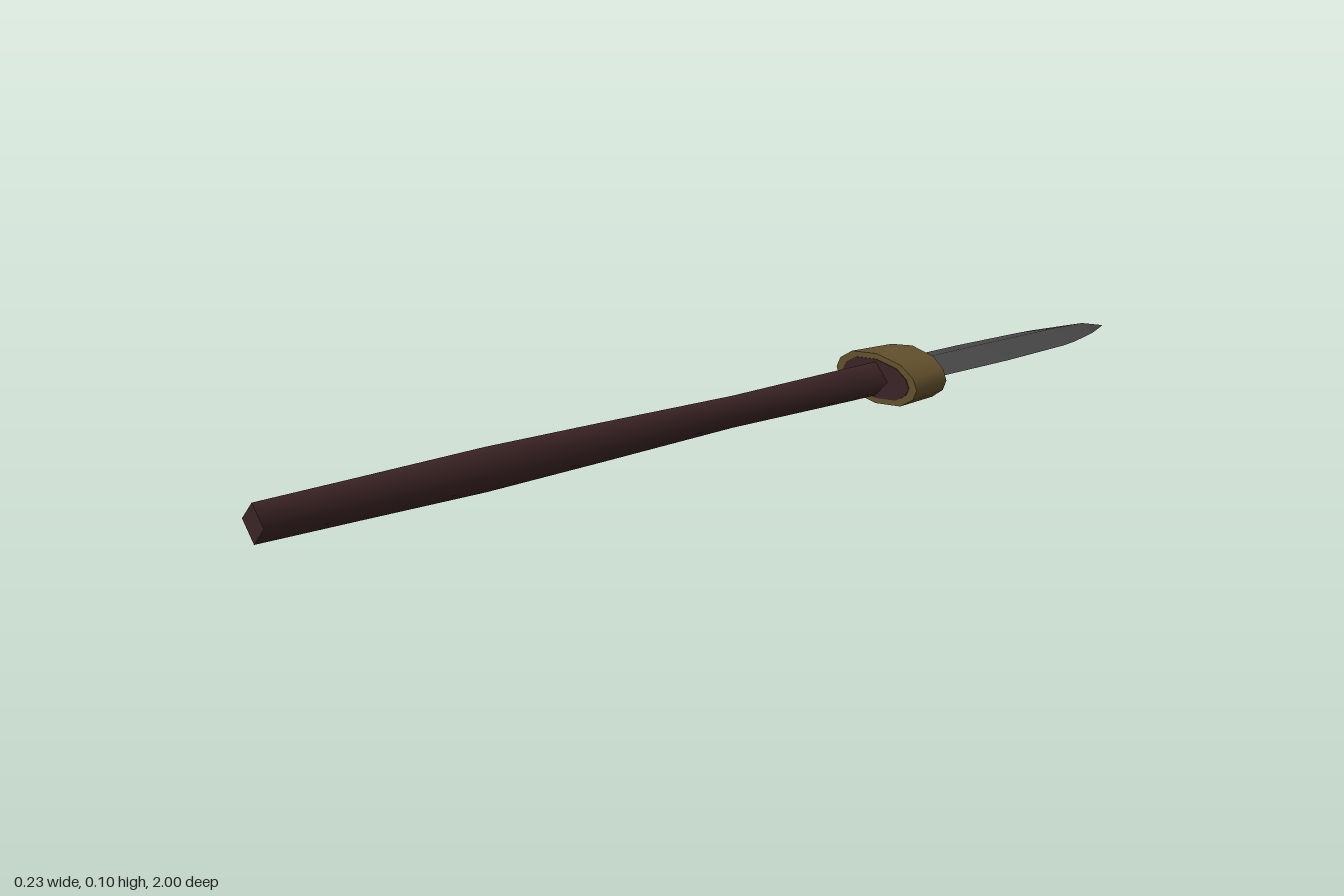
import * as THREE from 'three';

const AXIS_Y = 0.05;

const wood = new THREE.MeshStandardMaterial({ color: 0x3a2325 });
wood.name = 'dark wood';
const brass = new THREE.MeshStandardMaterial({ color: 0x62502c });
brass.name = 'old brass';
const steel = new THREE.MeshStandardMaterial({ color: 0x464646 });
steel.name = 'dark steel';

// Skin cross-sections { z, pts } running from back to front; pts go
// counter-clockwise seen from +z. End caps get their own vertices.
function loft(sections, flat = false) {
  const pos = [], idx = [];
  const n = sections[0].pts.length;
  const addRing = ({ z, pts }) => {
    const start = pos.length / 3;
    pts.forEach(([x, y]) => pos.push(x, y, z));
    return start;
  };
  const rings = sections.map(addRing);
  for (let i = 0; i < rings.length - 1; i++) {
    for (let j = 0; j < n; j++) {
      const k = (j + 1) % n;
      const a = rings[i] + j, b = rings[i] + k, c = rings[i + 1] + k, d = rings[i + 1] + j;
      idx.push(a, b, c, a, c, d);
    }
  }
  const back = addRing(sections[0]);
  const front = addRing(sections[sections.length - 1]);
  for (let j = 1; j < n - 1; j++) {
    idx.push(back, back + j + 1, back + j, front, front + j, front + j + 1);
  }
  let geo = new THREE.BufferGeometry();
  geo.setAttribute('position', new THREE.Float32BufferAttribute(pos, 3));
  geo.setIndex(idx);
  if (flat) geo = geo.toNonIndexed();
  geo.computeVertexNormals();
  return geo;
}

const diamond = (right, left, up, cx = 0, cy = 0) =>
  [[cx + right, cy], [cx, cy + up], [cx - left, cy], [cx, cy - up]];

// Twelve-sided oval, mirrored from one quarter
function oval(sx, sy) {
  const q = [[0.115, 0], [0.104, 0.021], [0.07, 0.041], [0, 0.05]];
  const top = [...q, ...q.slice(0, 3).reverse().map(([x, y]) => [-x, y])];
  const bottom = top.slice(1, 6).reverse().map(([x, y]) => [x, -y]);
  return [...top, ...bottom].map(([x, y]) => [x * sx, y * sy]);
}

export function createModel() {
  const group = new THREE.Group();
  const add = (name, geo, mat) => {
    const mesh = new THREE.Mesh(geo, mat);
    mesh.name = name;
    mesh.position.y = AXIS_Y;
    group.add(mesh);
  };

  // Four-sided shaft, swelling towards the grip: z, radius, x offset
  const shaft = [
    [-0.4, 0.034, 0], [-0.3, 0.034, 0], [0, 0.031, 0], [0.3, 0.037, 0.001],
    [0.55, 0.041, 0.002], [0.8, 0.038, 0.002], [1, 0.036, 0.002],
  ];
  add('shaft', loft(shaft.map(([z, r, x]) => ({ z, pts: diamond(r, r, r, x) }))), wood);

  // Collar, narrowing towards the blade
  add('collar', loft([
    { z: -0.455, pts: oval(0.85, 1) },
    { z: -0.36, pts: oval(1, 1) },
  ]), brass);

  // Wooden filling seen at both ends of the collar
  add('collarFilling', loft([
    { z: -0.4565, pts: oval(0.68, 0.78) },
    { z: -0.3585, pts: oval(0.82, 0.78) },
  ]), wood);

  // Small end of the shaft under the root of the blade
  add('shaftTip', loft([
    { z: -0.53, pts: diamond(0.008, 0.008, 0.008, 0, -0.009) },
    { z: -0.5, pts: diamond(0.02, 0.02, 0.016, 0, -0.005) },
    { z: -0.45, pts: diamond(0.02, 0.02, 0.016, 0, -0.005) },
  ]), wood);

  // Leaf blade with a central ridge: z, right, left, half thickness
  const blade = [
    [-1, 0.002, 0.002, 0.001], [-0.94, 0.03, 0.036, 0.015],
    [-0.86, 0.055, 0.064, 0.018], [-0.82, 0.062, 0.068, 0.018],
    [-0.65, 0.071, 0.076, 0.019], [-0.44, 0.071, 0.075, 0.019],
  ];
  add('blade', loft(blade.map(([z, r, l, t]) => ({ z, pts: diamond(r, l, t, 0, 0.001) })), true), steel);

  return group;
}
